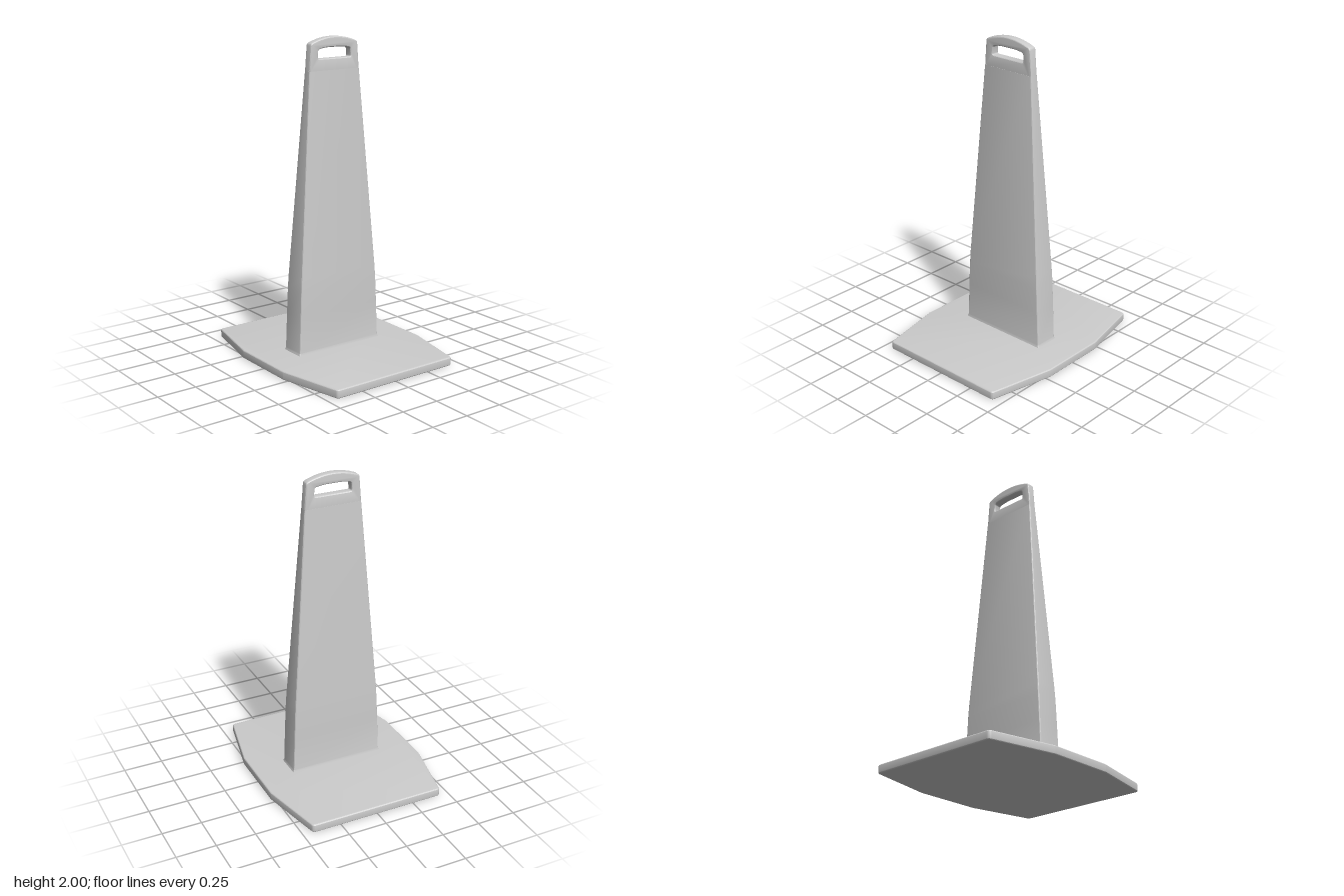
import * as THREE from 'three';
import { toCreasedNormals } from 'three/addons/utils/BufferGeometryUtils.js';

const CREASE = 0.35;
const material = new THREE.MeshStandardMaterial({ color: 0xcccccc });

function part(name, geometry) {
  const mesh = new THREE.Mesh(toCreasedNormals(geometry, CREASE), material);
  mesh.name = name;
  return mesh;
}

// Closed path through corner points [x, y, radius], each corner rounded
function roundedPath(corners, path) {
  const n = corners.length;
  corners.forEach(([x, y, r], i) => {
    const c = new THREE.Vector2(x, y);
    const toward = (k) => {
      const p = corners[(i + k + n) % n];
      return new THREE.Vector2(p[0], p[1]).sub(c).setLength(r).add(c);
    };
    const a = toward(-1), b = toward(1);
    if (i === 0) path.moveTo(a.x, a.y);
    else path.lineTo(a.x, a.y);
    path.quadraticCurveTo(x, y, b.x, b.y);
  });
  path.closePath();
  return path;
}

// Extrude whose rounded rim stays inside the outline, centred on z
function roundedPlate(shape, depth, bevel) {
  const geometry = new THREE.ExtrudeGeometry(shape, {
    depth: depth - 2 * bevel, curveSegments: 6, bevelEnabled: true,
    bevelThickness: bevel, bevelSize: bevel, bevelOffset: -bevel, bevelSegments: 4,
  });
  return geometry.translate(0, 0, -(depth - 2 * bevel) / 2);
}

// Ground plate: rectangle with sides swelling to a wider middle
function basePlate() {
  const shape = roundedPath([
    [0.438, -0.645, 0.018], [0.53, -0.218, 0.005], [0.53, 0.218, 0.005], [0.438, 0.645, 0.018],
    [-0.438, 0.645, 0.018], [-0.53, 0.218, 0.005], [-0.53, -0.218, 0.005], [-0.438, -0.645, 0.018],
  ], new THREE.Shape());
  return roundedPlate(shape, 0.055, 0.01).rotateX(-Math.PI / 2).translate(0, 0.0295, 0);
}

// Tapered shaft lofted through rounded rectangles [y, half width, half depth, radius]
const sections = [
  [0.05, 0.312, 0.084, 0.006],
  [0.06, 0.309, 0.082, 0.006],
  [0.072, 0.305, 0.079, 0.007],
  [0.3, 0.296, 0.079, 0.009],
  [0.46, 0.289, 0.078, 0.01],
  [0.54, 0.284, 0.076, 0.01],
  [1.8, 0.186, 0.028, 0.01],
];

function shaft() {
  const steps = 4, ring = 4 * (steps + 1);
  const positions = [], index = [];
  for (const [y, w, d, r] of sections) {
    for (let q = 0; q < 4; q++) {
      const sx = q === 0 || q === 3 ? 1 : -1, sz = q < 2 ? 1 : -1;
      for (let s = 0; s <= steps; s++) {
        const a = (q + s / steps) * Math.PI / 2;
        positions.push(sx * (w - r) + r * Math.cos(a), y, sz * (d - r) + r * Math.sin(a));
      }
    }
  }
  for (let i = 0; i < sections.length - 1; i++) {
    for (let j = 0; j < ring; j++) {
      const a = i * ring + j, b = i * ring + (j + 1) % ring;
      index.push(a, a + ring, b, b, a + ring, b + ring);
    }
  }
  // End caps
  const top = (sections.length - 1) * ring;
  for (let j = 1; j < ring - 1; j++) {
    index.push(0, j, j + 1, top, top + j + 1, top + j);
  }
  const geometry = new THREE.BufferGeometry();
  geometry.setAttribute('position', new THREE.Float32BufferAttribute(positions, 3));
  geometry.setIndex(index);
  return geometry;
}

// Arched top with a slot for the hand
function grip() {
  const shape = new THREE.Shape();
  shape.moveTo(-0.176, 1.78);
  shape.lineTo(0.176, 1.78);
  shape.lineTo(0.186, 1.8);
  shape.lineTo(0.174, 1.95);
  shape.quadraticCurveTo(0.173, 1.965, 0.155, 1.971);
  shape.quadraticCurveTo(0.08, 2, 0, 2);
  shape.quadraticCurveTo(-0.08, 2, -0.155, 1.971);
  shape.quadraticCurveTo(-0.173, 1.965, -0.174, 1.95);
  shape.lineTo(-0.186, 1.8);
  shape.closePath();
  shape.holes.push(roundedPath([
    [-0.122, 1.871, 0.01], [-0.118, 1.927, 0.015], [-0.06, 1.936, 0.02],
    [0.06, 1.936, 0.02], [0.118, 1.927, 0.015], [0.122, 1.871, 0.01],
  ], new THREE.Path()));
  return roundedPlate(shape, 0.054, 0.01);
}

export function createModel() {
  const model = new THREE.Group();
  model.name = 'trafficPanel';
  model.add(part('basePlate', basePlate()), part('shaft', shaft()), part('grip', grip()));
  return model;
}
